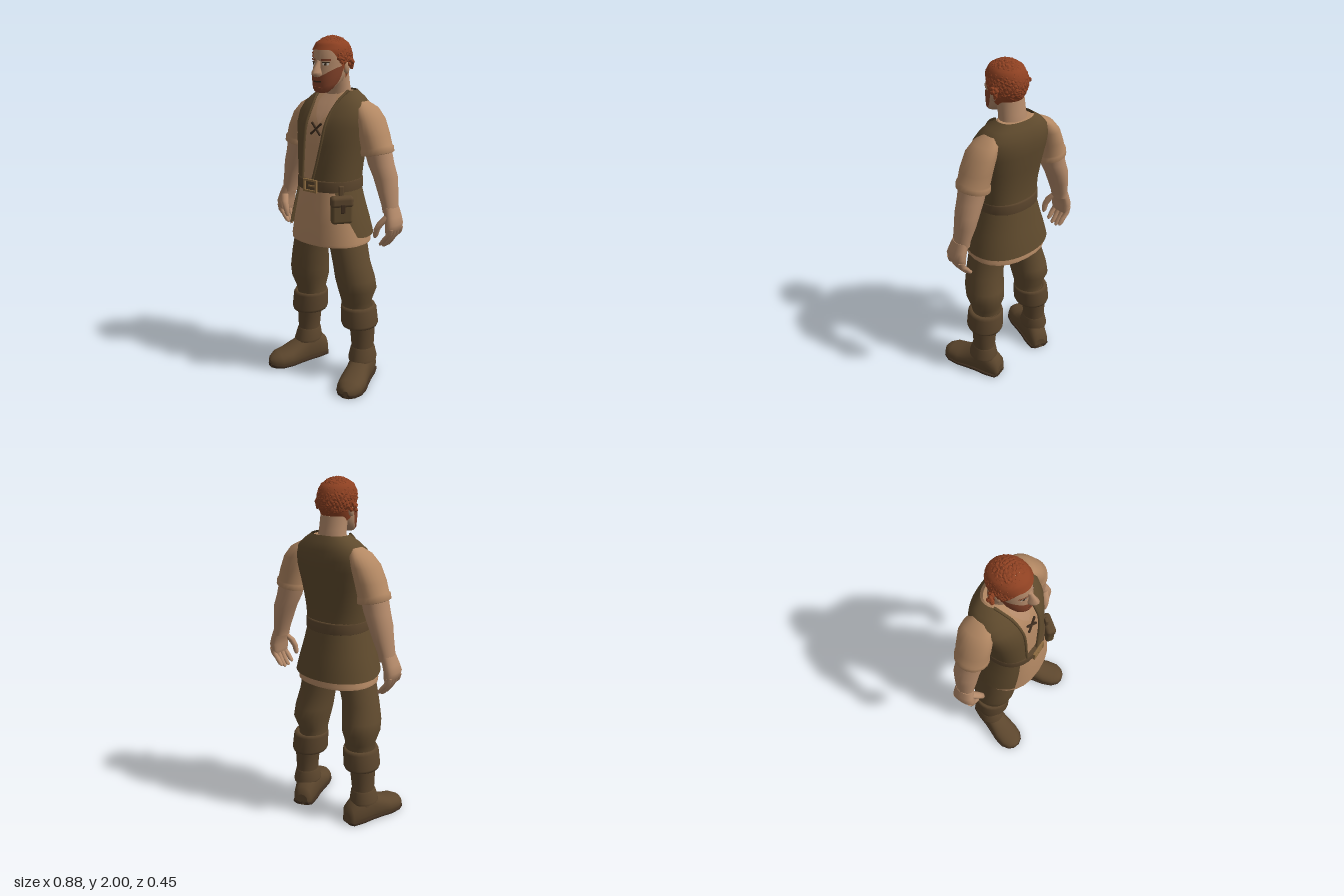
import * as THREE from 'three';
import { mergeGeometries, mergeVertices } from 'three/addons/utils/BufferGeometryUtils.js';
import { RoundedBoxGeometry } from 'three/addons/geometries/RoundedBoxGeometry.js';

const { clamp, lerp, mapLinear } = THREE.MathUtils;
const PI = Math.PI, DEG = PI / 180;

// Smooth surface from fn(u, v) -> [x, y, z]
function grid(fn, nu, nv) {
  const pos = [], idx = [], w = nu + 1;
  for (let j = 0; j <= nv; j++) for (let i = 0; i <= nu; i++) pos.push(...fn(i / nu, j / nv));
  for (let j = 0; j < nv; j++) for (let i = 0; i < nu; i++) {
    const a = j * w + i, d = a + w;
    idx.push(a, d, a + 1, d, d + 1, a + 1);
  }
  let g = new THREE.BufferGeometry();
  g.setAttribute('position', new THREE.Float32BufferAttribute(pos, 3));
  g.setIndex(idx);
  g = mergeVertices(g, 1e-5);
  g.computeVertexNormals();
  return g;
}

// Point on a section [x, y, z, rx, rz, tilt]; angle 0 is +x, 90 degrees is the front
const pow = (v, e) => Math.sign(v) * Math.abs(v) ** e;
function onRing([x, y, z, rx, rz, tilt = 0], t, e = 1, off = 0) {
  const c = Math.cos(t);
  return [x + (rx + off) * pow(c, e), y + tilt * rx * c, z + (rz + off) * pow(Math.sin(t), e)];
}
// Stacked sections, lowest first, with closed ends unless open
function loft(secs, { e = 1, n = 24, open = false } = {}) {
  const last = secs.length - 1;
  const parts = [grid((u, v) => onRing(secs[Math.round(v * last)], u * 2 * PI, e), n, last)];
  if (!open) for (const [s, lower] of [[secs[0], true], [secs[last], false]])
    parts.push(grid((u, v) => (v > 0.5) === lower ? onRing(s, u * 2 * PI, e) : [s[0], s[1], s[2]], n, 1));
  return mergeGeometries(parts);
}
function sectionAt(secs, y) {
  let i = 0;
  while (i < secs.length - 2 && y > secs[i + 1][1]) i++;
  const a = secs[i], b = secs[i + 1], k = clamp((y - a[1]) / (b[1] - a[1]), 0, 1);
  return a.map((v, j) => lerp(v, b[j], k));
}
// Thin patch lying just over a lofted form; angles in degrees
function patch(secs, t0, t1, lo, hi, off, nu = 12, nv = 4, e = 1) {
  const val = (f, t) => (typeof f === 'function' ? f(t) : f);
  return grid((u, v) => {
    const t = lerp(t0, t1, u) * DEG;
    return onRing(sectionAt(secs, lerp(val(lo, t), val(hi, t), v)), t, e, off);
  }, nu, nv);
}
// Section from height, half width, front z and back z
const fb = (y, rx, f, b) => [0, y, (f + b) / 2, rx, (f - b) / 2];
const mirror = (secs, s) => secs.map(([x, y, z, rx, rz, t = 0]) => [x * s, y, z, rx, rz, t * s]);

export function createModel() {
  const model = new THREE.Group();
  const mat = (name, color, side = THREE.FrontSide) => {
    const m = new THREE.MeshStandardMaterial({ color, side });
    m.name = name;
    return m;
  };
  const skin = mat('skin', 0xb48a6a), shirt = mat('shirt cloth', 0xb38863, THREE.DoubleSide);
  const vest = mat('vest cloth', 0x5f4a2d, THREE.DoubleSide), pants = mat('trouser cloth', 0x614b2f);
  const boot = mat('boot leather', 0x5c462d), sole = mat('dark leather', 0x3f2e1f);
  const hair = mat('red hair', 0x8e4122), beardMat = mat('beard', 0x84432a);
  const brass = mat('buckle brass', 0x8d6b40), white = mat('eye white', 0xc9bdae);
  const add = (name, geo, m) => {
    const mesh = new THREE.Mesh(geo, m);
    mesh.name = name;
    model.add(mesh);
    return mesh;
  };

  // Torso: shirt, open vest, neck
  const E = 0.85;
  const torso = [fb(1.215, 0.18, 0.16, -0.155), fb(1.3, 0.19, 0.152, -0.155), fb(1.42, 0.205, 0.142, -0.172),
    fb(1.52, 0.222, 0.125, -0.188), fb(1.58, 0.224, 0.095, -0.192), fb(1.63, 0.205, 0.06, -0.187),
    fb(1.67, 0.16, 0.028, -0.172), fb(1.705, 0.11, 0, -0.152)];
  const inner = torso.map(([x, y, z, rx, rz]) => [x, y - 0.008, z, rx - 0.013, rz - 0.013]);
  add('shirtBody', loft(inner, { e: E }), shirt);
  add('neck', loft([[0, 1.6, -0.065, 0.095, 0.075], [0, 1.68, -0.065, 0.083, 0.068],
    [0, 1.73, -0.055, 0.078, 0.066], [0, 1.8, -0.04, 0.078, 0.07]]), skin);
  add('openCollar', patch(inner, 73, 107, (t) => 1.53 + 0.4 * Math.abs(Math.cos(t)), 1.69, 0.003, 12, 8, E), skin);
  const openL = [0, 0.02, 0.045, 0.058, 0.064, 0.075, 0.086, 0.098];
  const openR = [0.08, 0.08, 0.078, 0.076, 0.076, 0.08, 0.09, 0.1];
  const angleAt = (sec, x) => Math.acos(pow(x / sec[3], 1 / E));
  const vestPoint = (i, u) => onRing(torso[i],
    lerp(angleAt(torso[i], -openR[i]), 2 * PI + angleAt(torso[i], openL[i]), u), E);
  add('vest', grid((u, v) => vestPoint(Math.round(v * 7), u), 40, 7), vest);
  for (const u of [0, 1]) {
    const edge = new THREE.CatmullRomCurve3(torso.map((_, i) => new THREE.Vector3(...vestPoint(i, u))));
    add('vestEdge', new THREE.TubeGeometry(edge, 24, 0.008, 6), vest);
  }
  for (const a of [-1, 1]) {
    const lace = add('chestLace', new RoundedBoxGeometry(0.012, 0.095, 0.012, 1, 0.004), sole);
    lace.position.set(-0.003, 1.505, 0.122);
    lace.rotation.set(-0.18, 0, a * 0.8);
  }

  // Tunic skirt, vest tails and belt
  const skirt = [fb(0.855, 0.238, 0.186, -0.2), fb(0.87, 0.238, 0.187, -0.2), fb(0.98, 0.215, 0.18, -0.182),
    fb(1.08, 0.19, 0.17, -0.162), fb(1.18, 0.168, 0.155, -0.145)];
  add('tunicSkirt', loft(skirt, { e: 0.9, open: true }), shirt);
  add('tunicLining', loft([[0, 0.93, 0, 0.2, 0.17], [0, 1.16, 0, 0.16, 0.14]]), shirt);
  add('vestTails', grid((u, v) => {
    const t = lerp(lerp(138, 130, v), lerp(375, 408, v), u) * DEG;
    const y = lerp(0.9, 1.18, v) + 0.045 * (1 - v) * Math.max(0, Math.sin(t));
    return onRing(sectionAt(skirt, y), t, 0.9, lerp(0.02, 0.012, v));
  }, 32, 6), vest);
  const beltSecs = [1.163, 1.168, 1.22, 1.226].map((y, i) => fb(y, i % 3 ? 0.186 : 0.18, i % 3 ? 0.171 : 0.165, i % 3 ? -0.168 : -0.162));
  add('belt', loft(beltSecs, { e: 0.9, n: 32 }), boot);
  const frame = new THREE.Shape([[-0.047, -0.036], [0.047, -0.036], [0.047, 0.036], [-0.047, 0.036]].map((p) => new THREE.Vector2(...p)));
  frame.holes.push(new THREE.Path([[-0.036, -0.025], [-0.036, 0.025], [0.036, 0.025], [0.036, -0.025]].map((p) => new THREE.Vector2(...p))));
  add('buckle', new THREE.ExtrudeGeometry(frame, { depth: 0.012, bevelEnabled: false }), brass).position.set(-0.003, 1.195, 0.168);
  add('bucklePin', new THREE.BoxGeometry(0.045, 0.008, 0.008), brass).position.set(0.01, 1.195, 0.177);

  // Belt pouch
  const pouch = new THREE.Group();
  pouch.name = 'pouch';
  for (const [w, h, d, y, z, m] of [[0.12, 0.13, 0.05, -0.02, 0, vest], [0.13, 0.065, 0.06, 0.04, 0.002, boot],
    [0.025, 0.05, 0.01, 0.005, 0.032, sole], [0.03, 0.08, 0.02, 0.085, -0.01, boot]]) {
    const b = new THREE.Mesh(new RoundedBoxGeometry(w, h, d, 2, Math.min(w, h, d) * 0.35), m);
    b.name = 'pouchPart';
    b.position.set(0, y, z);
    pouch.add(b);
  }
  pouch.position.set(0.178, 1.085, 0.122);
  pouch.rotation.y = 53 * DEG;
  model.add(pouch);

  // Limbs on both sides
  for (const s of [1, -1]) {
    const limb = (name, secs, m, opt) => add(name, loft(mirror(secs, s), opt), m);
    limb('sleeve', [[0.278, 1.372, -0.066, 0.082, 0.088, 0.2], [0.278, 1.376, -0.066, 0.09, 0.096, 0.2],
      [0.275, 1.405, -0.066, 0.088, 0.095, 0.2], [0.272, 1.412, -0.066, 0.082, 0.09, 0.2], [0.253, 1.48, -0.066, 0.082, 0.096],
      [0.225, 1.56, -0.07, 0.072, 0.096], [0.195, 1.615, -0.075, 0.055, 0.078], [0.165, 1.65, -0.075, 0.02, 0.04]], shirt);
    limb('arm', [[0.37, 1.06, -0.07, 0.038, 0.052], [0.366, 1.1, -0.07, 0.043, 0.056], [0.345, 1.18, -0.074, 0.054, 0.067],
      [0.328, 1.25, -0.075, 0.066, 0.072], [0.3, 1.32, -0.07, 0.073, 0.074], [0.275, 1.42, -0.066, 0.073, 0.08]], skin);
    limb('palm', [[0.392, 0.945, -0.06, 0.018, 0.056], [0.398, 0.965, -0.06, 0.03, 0.064], [0.402, 1.0, -0.06, 0.036, 0.067],
      [0.392, 1.04, -0.064, 0.036, 0.06], [0.372, 1.09, -0.068, 0.038, 0.052]], skin, { e: 0.85 });
    [-0.108, -0.077, -0.045, -0.014].forEach((z, i) => {
      const d = i % 3 ? 0 : 0.015;
      limb('finger', [[0.345, 0.858 + d, z, 0.006, 0.006], [0.352, 0.868 + d, z, 0.015, 0.014], [0.376, 0.9 + d, z, 0.017, 0.016],
        [0.4, 0.94, z, 0.019, 0.017], [0.407, 0.975, z, 0.022, 0.018]], skin, { n: 10 });
    });
    limb('thumb', [[0.327, 0.92, 0.012, 0.006, 0.006], [0.33, 0.932, 0.012, 0.014, 0.014], [0.338, 0.97, 0.012, 0.018, 0.018],
      [0.358, 1.01, 0, 0.022, 0.022], [0.385, 1.05, -0.03, 0.022, 0.022]], skin, { n: 12 });

    limb('trouserLeg', [[0.17, 0.45, -0.03, 0.085, 0.085], [0.174, 0.5, -0.027, 0.089, 0.09], [0.179, 0.575, -0.027, 0.108, 0.12],
      [0.172, 0.64, -0.015, 0.112, 0.121], [0.155, 0.74, 0, 0.106, 0.112], [0.13, 0.85, 0, 0.108, 0.114], [0.105, 1, 0, 0.1, 0.112]], pants);
    limb('bootCuff', [[0.198, 0.352, -0.037, 0.08, 0.085], [0.193, 0.345, -0.037, 0.1, 0.108], [0.192, 0.362, -0.037, 0.107, 0.113],
      [0.184, 0.452, -0.036, 0.103, 0.109], [0.18, 0.472, -0.035, 0.096, 0.1], [0.177, 0.462, -0.033, 0.08, 0.085]], boot);
    limb('bootShaft', [[0.207, 0.08, -0.05, 0.062, 0.075], [0.21, 0.2, -0.046, 0.063, 0.07], [0.207, 0.28, -0.047, 0.07, 0.072],
      [0.202, 0.37, -0.045, 0.078, 0.08]], boot);
    limb('ankleFlap', [[0.215, 0.125, -0.04, 0.078, 0.09], [0.213, 0.14, -0.042, 0.08, 0.092], [0.21, 0.2, -0.046, 0.068, 0.076],
      [0.21, 0.212, -0.046, 0.06, 0.068]], boot);

    // Foot sections run from heel to toe: distance, half width, height
    const foot = [[-0.108, 0.035, 0.07], [-0.095, 0.056, 0.12], [-0.03, 0.066, 0.18], [0.04, 0.066, 0.175], [0.1, 0.071, 0.135],
      [0.17, 0.08, 0.1], [0.235, 0.074, 0.086], [0.275, 0.05, 0.066], [0.293, 0.018, 0.045]];
    const shoe = (name, secs, m, e) => {
      const g = loft(secs, { e }).rotateX(PI / 2), p = g.attributes.position;
      for (let i = 0; i < p.count; i++) p.setY(i, Math.max(0, p.getY(i)));
      g.computeVertexNormals();
      const mesh = add(name, g, m);
      mesh.position.set(0.205 * s, 0, -0.053);
      mesh.rotation.y = 18 * DEG * s;
    };
    shoe('bootFoot', foot.map(([d, w, h]) => [0, d, -h * 0.4, w, h * 0.6]), boot, 0.9);
    shoe('bootSole', foot.map(([d, w]) => [0, d, -0.012, w + 0.005, 0.013]), sole, 0.5);
  }

  // Head and face
  const head = [fb(1.7, 0.035, 0.1, 0.045), fb(1.715, 0.056, 0.105, 0.02), fb(1.76, 0.078, 0.109, -0.07), fb(1.8, 0.086, 0.107, -0.1),
    fb(1.86, 0.092, 0.1, -0.125), fb(1.92, 0.092, 0.098, -0.125), fb(1.96, 0.075, 0.074, -0.1), fb(1.985, 0.03, 0.03, -0.05)];
  add('head', loft(head, { n: 32 }), skin);
  add('nose', loft([[0, 1.784, 0.108, 0.018, 0.02], [0, 1.797, 0.112, 0.027, 0.036], [0, 1.81, 0.112, 0.023, 0.042],
    [0, 1.835, 0.106, 0.014, 0.028], [0, 1.868, 0.098, 0.011, 0.012]], { n: 12 }), skin);
  add('beard', patch(head, 5, 175, 1.7, (t) => 1.782 + 0.06 * Math.abs(Math.cos(t)) ** 1.5, 0.005, 28, 6), beardMat);
  add('chinBeard', loft([[0, 1.698, 0.075, 0.025, 0.022], [0, 1.708, 0.075, 0.045, 0.036], [0, 1.73, 0.08, 0.04, 0.037]]), beardMat);
  add('mouth', patch(head, 72, 108, 1.755, 1.763, 0.008, 8, 1), sole);
  for (const s of [1, -1]) {
    const face = (name, a, b, lo, hi, off, m) =>
      add(name, patch(head, s > 0 ? a : 180 - b, s > 0 ? b : 180 - a, lo, hi, off, 6, 2), m);
    face('eyeWhite', 54, 74, 1.846, 1.858, 0.003, white);
    face('iris', 61, 68, 1.846, 1.858, 0.005, sole);
    face('eyelid', 52, 76, 1.858, 1.863, 0.006, sole);
    face('eyebrow', 48, 79, 1.869, 1.878, 0.007, beardMat);
    const ear = add('ear', new THREE.SphereGeometry(1, 12, 8), skin);
    ear.scale.set(0.014, 0.034, 0.022);
    ear.position.set(0.095 * s, 1.83, -0.02);
  }

  // Curly hair: a cap covered by faceted locks
  const hairline = (s) => (s < 0.2 ? clamp(mapLinear(s, -0.4, 0.2, 1.775, 1.835), 1.775, 1.835)
    : clamp(mapLinear(s, 0.2, 0.75, 1.835, 1.925), 1.835, 1.925));
  add('hairCap', patch(head, 0, 360, (t) => hairline(Math.sin(t)), 1.985, 0.008, 40, 8), hair);
  let seed = 7;
  const rnd = () => (seed = (seed * 16807) % 2147483647) / 2147483647;
  const locks = [], dummy = new THREE.Object3D();
  const lock = (x, y, z, n, size, flat) => {
    dummy.position.set(x, y, z);
    dummy.lookAt(x + n.x, y + n.y, z + n.z);
    dummy.rotateZ(rnd() * 6);
    dummy.rotateX((rnd() - 0.5) * 0.7);
    dummy.scale.set(size * (0.7 + rnd() * 0.5), size * (0.9 + rnd() * 0.5), size * flat);
    dummy.updateMatrix();
    locks.push(new THREE.IcosahedronGeometry(1, 0).applyMatrix4(dummy.matrix));
  };
  for (let i = 0; i < 420; i++) {
    const ny = 1 - (2 * (i + 0.5)) / 420, r = Math.sqrt(1 - ny * ny), a = i * 2.39996;
    const n = new THREE.Vector3(r * Math.cos(a), ny, r * Math.sin(a));
    const y = 1.88 + 0.108 * ny;
    if (y > hairline(r > 0 ? n.z / r : 0) + 0.006) lock(n.x * 0.098, y, n.z * 0.114 - 0.015, n, 0.015, 0.65);
  }
  for (const s of [1, -1]) for (let i = 0; i < 9; i++) {
    const out = 0.1 + rnd() * (s > 0 ? 0.016 : 0.032);
    lock(out * s, 1.828 + rnd() * 0.045, -0.065 + rnd() * 0.04, new THREE.Vector3(s, 0.3, 0), 0.014, 0.9);
  }
  add('hairLocks', mergeGeometries(locks), hair);
  return model;
}
